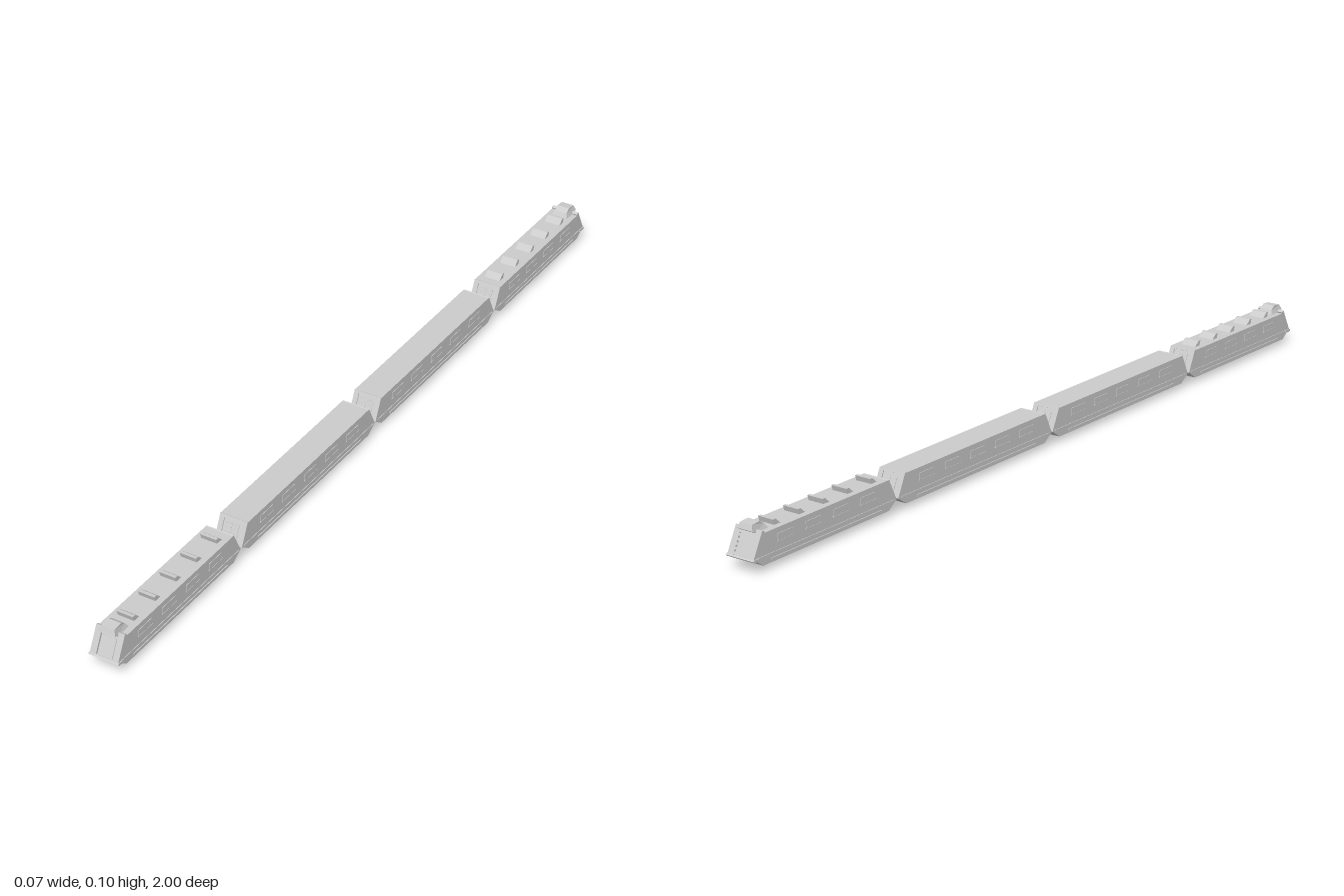
import * as THREE from 'three';

const HALF = 0.035, ROOF = 0.081, BELT = 0.03, SILL = 0.013;
const grey = new THREE.MeshStandardMaterial({ color: 0xcccccc, flatShading: true });

function add(parent, name, geometry, x = 0, y = 0, z = 0) {
  const m = new THREE.Mesh(geometry, grey);
  m.name = name;
  m.position.set(x, y, z);
  parent.add(m);
  return m;
}
const box = (parent, name, w, h, d, x, y, z) => add(parent, name, new THREE.BoxGeometry(w, h, d), x, y, z);

// Side outline of [z, y] points, extruded across the width and centred on x = 0
function across(points, width) {
  const shape = new THREE.Shape(points.map(([z, y]) => new THREE.Vector2(-z, y)));
  const g = new THREE.ExtrudeGeometry(shape, { depth: width, bevelEnabled: false });
  g.translate(0, 0, -width / 2);
  g.rotateY(Math.PI / 2);
  return g;
}

// Box whose bottom face is narrower and shorter than its top
function keel(w, h, d, wBottom, dBottom) {
  const g = new THREE.BoxGeometry(w, h, d), p = g.attributes.position;
  for (let i = 0; i < p.count; i++) {
    if (p.getY(i) < 0) p.setXYZ(i, p.getX(i) * wBottom / w, p.getY(i), p.getZ(i) * dBottom / d);
  }
  return g;
}

// Group lying on a sloping end face: y runs up the slope, z points outwards
function endFace(parent, name, tip, slope, dir) {
  const turn = new THREE.Group();
  turn.name = name;
  turn.rotation.y = dir > 0 ? 0 : Math.PI;
  const face = new THREE.Group();
  face.name = name + 'Panel';
  face.position.set(0, BELT, Math.abs(tip));
  face.rotation.x = -Math.atan2(slope, ROOF - BELT);
  turn.add(face);
  parent.add(turn);
  return face;
}

// Doorway between two cars
function gangway(parent, tip, slope, dir) {
  const f = endFace(parent, 'gangway', tip, slope, dir);
  const h = Math.hypot(slope, ROOF - BELT);
  for (const s of [-1, 1]) {
    box(f, 'gangwayPost', 0.012, h, 0.005, s * 0.0285, h / 2, 0);
    box(f, 'doorLeaf', 0.015, h * 0.72, 0.002, s * 0.0085, h * 0.4, 0);
  }
  box(f, 'gangwayLintel', 0.045, 0.006, 0.005, 0, h - 0.003, 0);
  for (let i = 0; i < 3; i++) box(f, 'gangwayRib', 0.034, 0.002, 0.004, 0, h * (0.35 + i * 0.18), 0);
}

// Common shell: sloped hull, belt, windows, skirts and underframe
function car(length, topInset) {
  const g = new THREE.Group(), h = length / 2;
  add(g, 'hull', across([
    [-h, BELT], [-h + 0.024, SILL], [h - 0.024, SILL], [h, BELT],
    [h - topInset[1], ROOF], [-h + topInset[0], ROOF],
  ], HALF * 2 - 0.001));
  const n = Math.round((length - 0.1) / 0.085), pitch = (length - 0.1) / n;
  for (const s of [-1, 1]) {
    box(g, 'beltRail', 0.002, 0.003, length - 0.012, s * HALF, BELT + 0.002, 0);
    box(g, 'skirtRail', 0.003, 0.005, length * 0.78, s * HALF, 0.02, 0);
    for (let i = 0; i < n; i++) {
      const z = (i - (n - 1) / 2) * pitch;
      box(g, 'window', 0.002, 0.015, pitch * 0.55, s * (HALF - 0.0002), 0.061, z);
      box(g, 'windowSill', 0.003, 0.002, pitch * 0.6, s * HALF, 0.0525, z);
    }
    box(g, 'underRail', 0.006, 0.003, length - 0.09, s * 0.027, SILL - 0.001, 0);
  }
  add(g, 'underframe', keel(0.04, 0.009, length - 0.1, 0.026, length - 0.14), 0, 0.0085, 0);
  box(g, 'guideRail', 0.006, 0.005, length - 0.16, 0, 0.0025, 0);
  return g;
}

function middleCar() {
  const length = 0.538, g = car(length, [0.024, 0.024]);
  g.name = 'middleCar';
  for (const d of [-1, 1]) gangway(g, length / 2, 0.024, d);
  return g;
}

// End car, built with its cab towards +z
function endCar(isFront) {
  const length = 0.441, h = length / 2, g = car(length, [0.024, 0.026]);
  g.name = isFront ? 'frontCar' : 'rearCar';
  gangway(g, h, 0.024, -1);

  // Roof scoops
  for (let i = 0; i < 5; i++) {
    const scoop = across([[-0.012, 0], [0.007, 0], [0.011, 0.013], [0.003, 0.013]], 0.04);
    add(g, 'roofScoop', scoop, 0, ROOF - 0.001, -0.165 + i * 0.0755);
  }

  // Hood over the cab: tapers towards the top and overhangs the nose
  const hood = across([[-0.032, 0], [0.006, 0], [0.016, 0.006], [0.011, 0.018], [-0.012, 0.02], [-0.024, 0.012]], 0.042);
  const p = hood.attributes.position;
  for (let i = 0; i < p.count; i++) if (p.getY(i) > 0.01) p.setX(i, p.getX(i) * 0.76);
  hood.computeVertexNormals();
  add(g, 'cabHood', hood, 0, ROOF - 0.001, h - 0.026);

  // Nose frame with windscreen or grille
  const f = endFace(g, isFront ? 'nose' : 'tail', h, 0.026, 1), tall = Math.hypot(0.026, ROOF - BELT);
  for (const s of [-1, 1]) box(f, 'cabPillar', 0.015, tall + 0.005, 0.008, s * 0.0275, tall / 2 + 0.0025, 0.001);
  box(f, 'cabBrow', 0.04, 0.009, 0.008, 0, tall - 0.0045, 0.001);
  if (isFront) box(f, 'windscreen', 0.034, tall * 0.78, 0.003, 0, tall * 0.41, 0);
  else for (let i = 0; i < 5; i++) box(f, 'grilleSlat', 0.042, 0.005, 0.008, 0, 0.005 + i * 0.0095, 0.001);
  add(g, 'bumper', across([[-0.014, -0.003], [0.004, -0.003], [0.007, 0], [0.004, 0.003], [-0.014, 0.003]], 0.074), 0, BELT, h);
  return g;
}

export function createModel() {
  const train = new THREE.Group();
  train.name = 'train';
  for (const d of [-1, 1]) {
    const mid = middleCar();
    mid.position.z = d * 0.273;
    const end = endCar(d > 0);
    end.position.z = d * 0.7725;
    if (d < 0) end.rotation.y = Math.PI;
    train.add(mid, end);
  }
  // Couplers between cars
  for (const z of [-0.547, 0, 0.547]) box(train, 'coupler', 0.016, 0.008, 0.03, 0, 0.026, z);
  return train;
}
